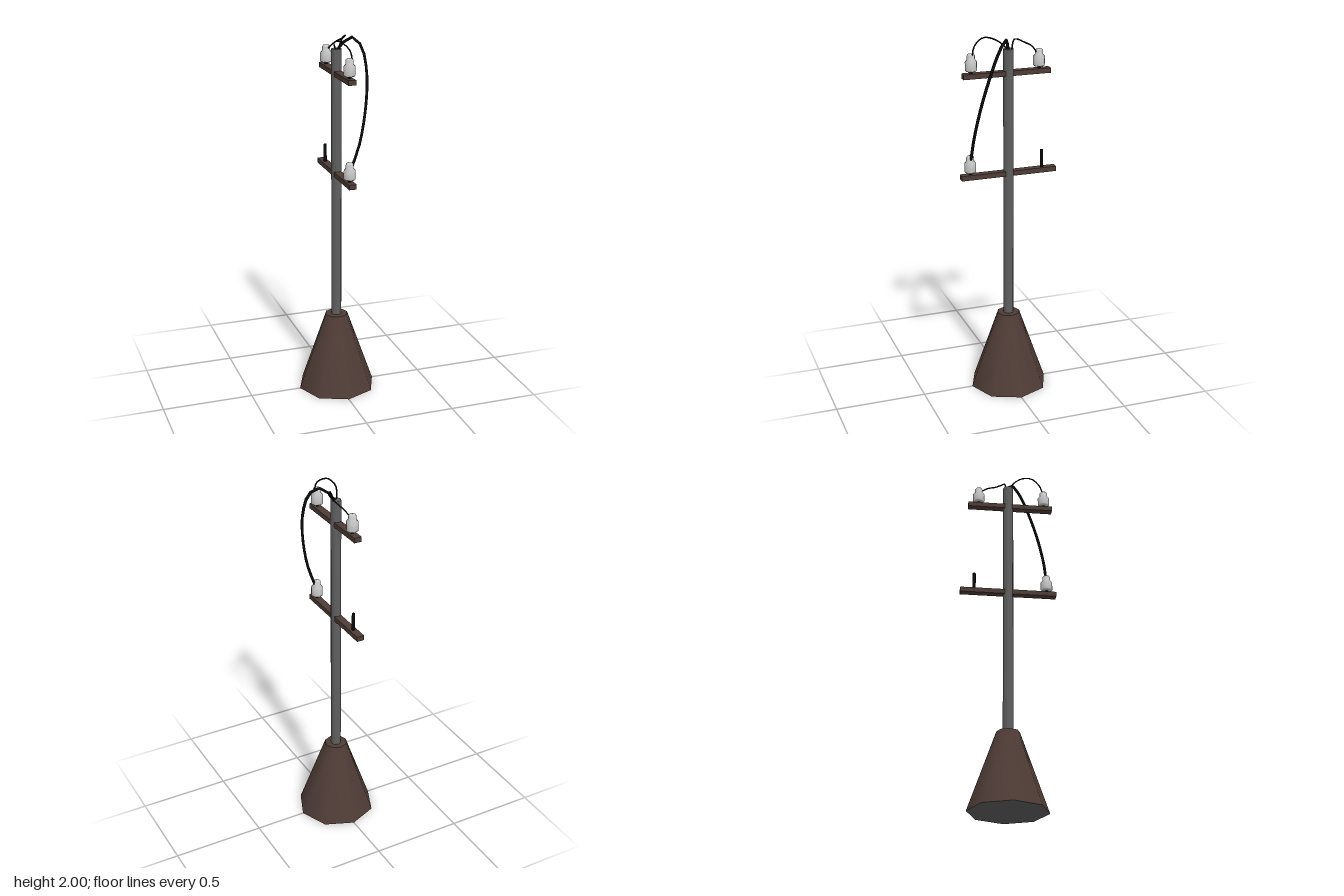
import * as THREE from 'three';

const mat = (color, side = THREE.FrontSide) => new THREE.MeshStandardMaterial({ color, side });

export function createModel() {
  const model = new THREE.Group();
  const brown = mat(0x4f3c36), steel = mat(0x606060), ceramic = mat(0xcccccc);
  const black = mat(0x0c0c0c, THREE.DoubleSide);

  const add = (name, geometry, material, x = 0, y = 0, z = 0, parent = model) => {
    const mesh = new THREE.Mesh(geometry, material);
    mesh.name = name;
    mesh.position.set(x, y, z);
    parent.add(mesh);
    return mesh;
  };

  // Tapered eight-sided footing with a grey underside, and the pole
  add('footing', new THREE.CylinderGeometry(0.063, 0.217, 0.435, 8), [brown, brown, steel], 0, 0.2175, 0);
  add('pole', new THREE.CylinderGeometry(0.029, 0.029, 1.53, 8), steel, 0, 1.165, 0);

  // Crossarms
  const arm = (name, y, z0, z1) =>
    add(name, new THREE.BoxGeometry(0.041, 0.027, z1 - z0), brown, 0, y, (z0 + z1) / 2);
  arm('upperCrossarm', 1.802, -0.23, 0.251);
  arm('lowerCrossarm', 1.254, -0.268, 0.267);

  // Bell-shaped insulators, each on a short pin
  const bell = [[0, 0], [0.027, 0], [0.033, 0.007], [0.033, 0.05], [0.022, 0.063],
    [0.022, 0.083], [0.016, 0.091], [0, 0.093]].map(([r, y]) => new THREE.Vector2(r, y));
  const bellGeometry = new THREE.LatheGeometry(bell, 8);
  const insulator = (name, y, z) => {
    const group = new THREE.Group();
    group.name = name;
    group.position.set(0, y, z);
    add('pin', new THREE.CylinderGeometry(0.009, 0.009, 0.04, 8), black, 0, 0.015, 0, group);
    add('bell', bellGeometry, ceramic, 0, 0.013, 0, group);
    model.add(group);
  };
  insulator('upperFrontInsulator', 1.814, 0.205);
  insulator('upperBackInsulator', 1.814, -0.17);
  insulator('lowerFrontInsulator', 1.267, 0.215);

  // Bare pin left without an insulator
  add('barePin', new THREE.CylinderGeometry(0.009, 0.009, 0.11, 8), black, 0, 1.31, -0.19);

  // Wires running from the insulators into the pole top
  const wire = (name, radius, points) => {
    const curve = new THREE.CatmullRomCurve3(points.map(p => new THREE.Vector3(...p)));
    add(name, new THREE.TubeGeometry(curve, 14, radius, 6), black);
  };
  wire('mainCable', 0.008, [[0, 1.915, 0], [0.03, 1.965, 0.017], [0.075, 1.993, 0.04],
    [0.108, 1.95, 0.085], [0.118, 1.82, 0.14], [0.098, 1.66, 0.183],
    [0.058, 1.48, 0.211], [0.015, 1.355, 0.215]]);
  wire('frontWire', 0.004, [[0.018, 1.895, 0.205], [0.008, 1.955, 0.19], [-0.02, 1.99, 0.14],
    [-0.026, 1.992, 0.11], [-0.034, 1.978, 0.068], [-0.022, 1.955, 0.03], [-0.002, 1.92, 0]]);
  wire('backWire', 0.004, [[0.006, 1.905, -0.152], [0.036, 1.945, -0.115], [0.059, 1.972, -0.065],
    [0.06, 1.99, -0.03], [0.042, 1.987, -0.016], [0.012, 1.92, -0.013]]);

  return model;
}
